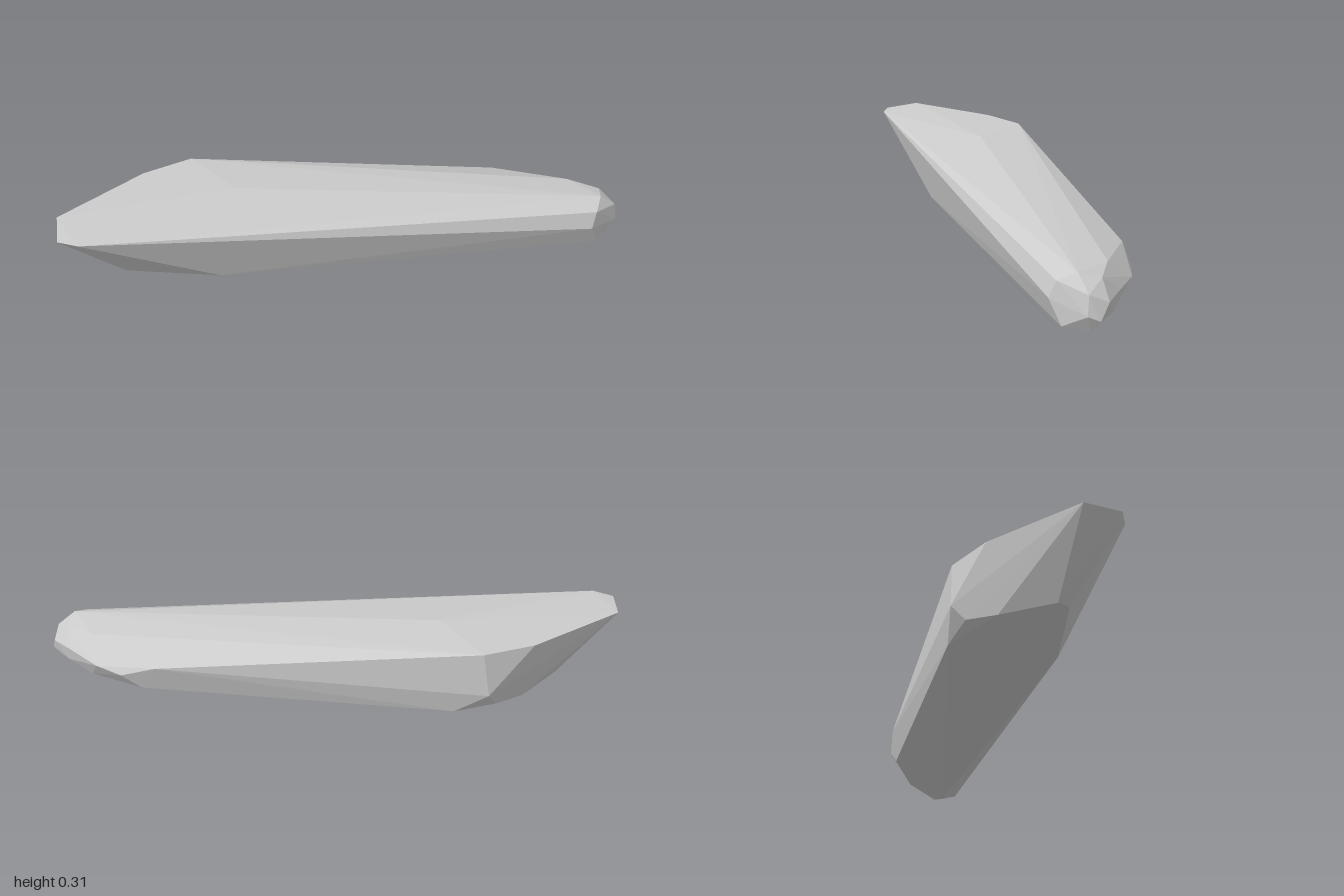
import * as THREE from 'three';
import { ConvexGeometry } from 'three/addons/geometries/ConvexGeometry.js';

const stone = new THREE.MeshStandardMaterial({ color: 0xcccccc });
stone.name = 'light grey stone';

// Corners of the stone shard, grouped by region
const topCorners = [
  [-1, 0.293, -0.365], [-0.94, 0.305, -0.487], [-0.54, 0.305, -0.55], [-0.34, 0.305, -0.53],
  [-0.3, 0.305, -0.26], [-0.95, 0.293, -0.3], [0.9, 0.214, 0.5], [0.88, 0.205, 0.33],
  [0.845, 0.184, 0.541], [0.95, 0.195, 0.44],
];
const bluntEnd = [
  [0.72, 0.17, 0.06], [0.83, 0.12, 0.14], [0.9, 0.13, 0.225], [0.96, 0.135, 0.36],
  [1, 0.13, 0.46], [1, 0.075, 0.5], [0.97, 0.09, 0.53], [0.965, 0.16, 0.52],
  [0.82, 0.12, 0.55], [0.87, 0.034, 0.542], [0.96, 0.032, 0.5],
];
const underside = [
  [-0.36, 0.13, -0.55], [-0.41, 0.065, -0.525], [-0.26, 0.04, -0.475], [-0.54, 0.045, -0.495],
  [-0.74, 0.043, -0.41], [-0.745, 0.043, -0.36], [-0.46, 0.037, -0.13], [0.62, 0.001, 0.27],
  [0.86, 0, 0.46], [0.76, 0.06, 0.115], [0.84, 0.045, 0.24], [0.9, 0.04, 0.31], [0.965, 0.07, 0.4],
];

export function createModel() {
  const group = new THREE.Group();
  group.name = 'stoneShard';
  const points = [...topCorners, ...bluntEnd, ...underside].map((p) => new THREE.Vector3(...p));
  const shard = new THREE.Mesh(new ConvexGeometry(points), stone);
  shard.name = 'shard';
  group.add(shard);
  return group;
}
